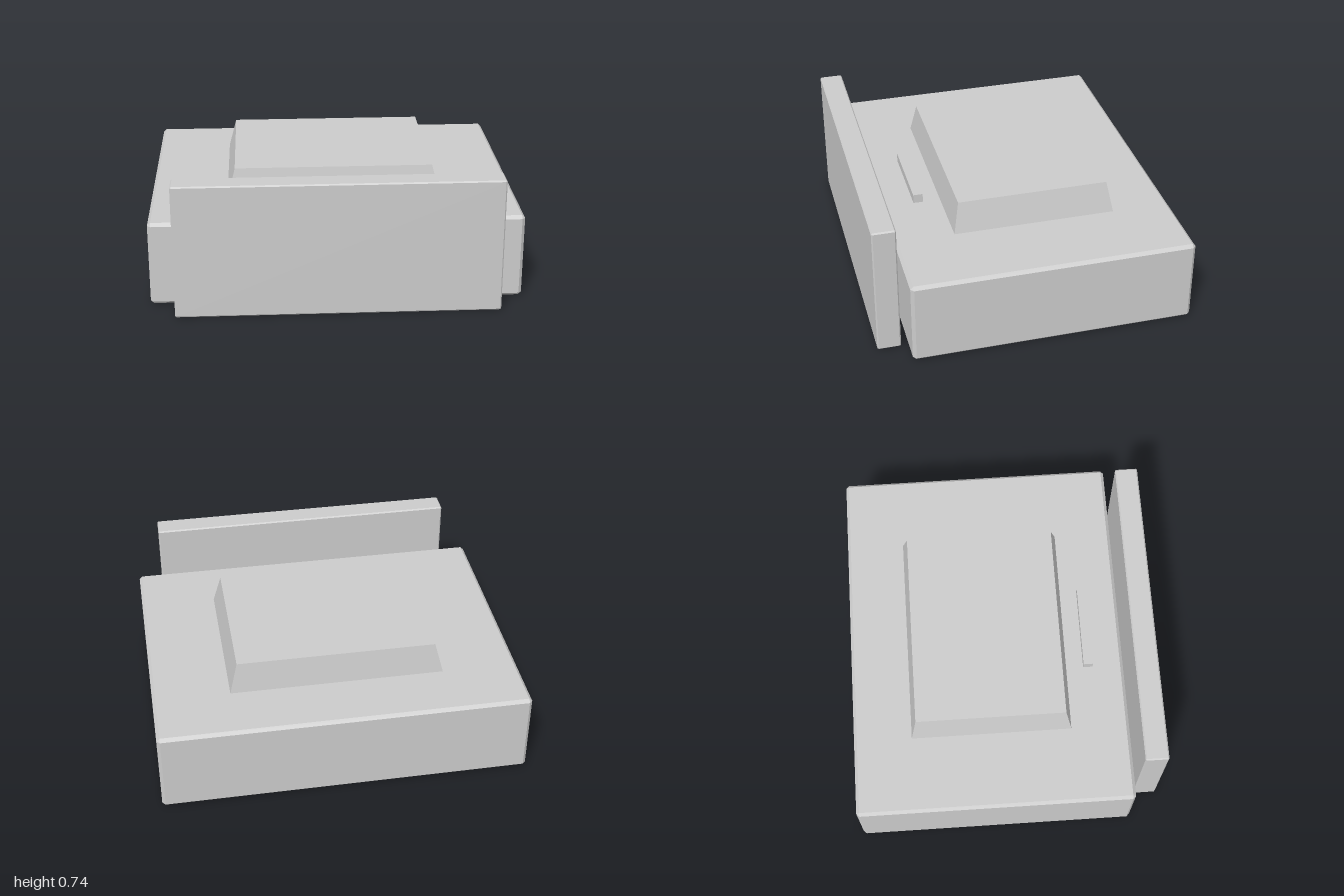
import * as THREE from 'three';
import { ConvexGeometry } from 'three/addons/geometries/ConvexGeometry.js';

const material = new THREE.MeshStandardMaterial({ color: 0xcccccc, flatShading: true });

// Box given by its limits, with every edge cut by a small chamfer c
function chamferedBox([x0, x1], [y0, y1], [z0, z1], c) {
  const points = [];
  for (const [x, dx] of [[x0, c], [x1, -c]])
    for (const [y, dy] of [[y0, c], [y1, -c]])
      for (const [z, dz] of [[z0, c], [z1, -c]])
        points.push(
          new THREE.Vector3(x, y + dy, z + dz),
          new THREE.Vector3(x + dx, y, z + dz),
          new THREE.Vector3(x + dx, y + dy, z)
        );
  return new ConvexGeometry(points);
}

// Block whose top is drawn in by the given inset on all four sides
function taperedBlock([x0, x1], [y0, y1], [z0, z1], insetX, insetZ) {
  const geometry = new THREE.BoxGeometry(x1 - x0, y1 - y0, z1 - z0);
  const p = geometry.attributes.position;
  for (let i = 0; i < p.count; i++) {
    if (p.getY(i) > 0) {
      p.setX(i, p.getX(i) - Math.sign(p.getX(i)) * insetX);
      p.setZ(i, p.getZ(i) - Math.sign(p.getZ(i)) * insetZ);
    }
  }
  geometry.translate((x0 + x1) / 2, (y0 + y1) / 2, (z0 + z1) / 2);
  geometry.computeVertexNormals();
  return geometry;
}

export function createModel() {
  const model = new THREE.Group();
  const add = (name, geometry) => {
    const mesh = new THREE.Mesh(geometry, material);
    mesh.name = name;
    model.add(mesh);
  };

  // Wide main body with chamfered edges
  add('body', chamferedBox([-1, 1], [0, 0.467], [-0.847, 0.683], 0.017));
  // Upright panel standing just in front of the body
  add('frontPanel', chamferedBox([-0.862, 0.862], [0, 0.735], [0.72, 0.847], 0.007));
  // Raised platform with sloping sides
  add('raisedTop', taperedBlock([-0.585, 0.585], [0.46, 0.635], [-0.527, 0.362], 0.045, 0.033));
  // Small bar between the raised top and the panel
  add('bar', taperedBlock([-0.23, 0.23], [0.46, 0.517], [0.457, 0.51], 0, 0));

  return model;
}
